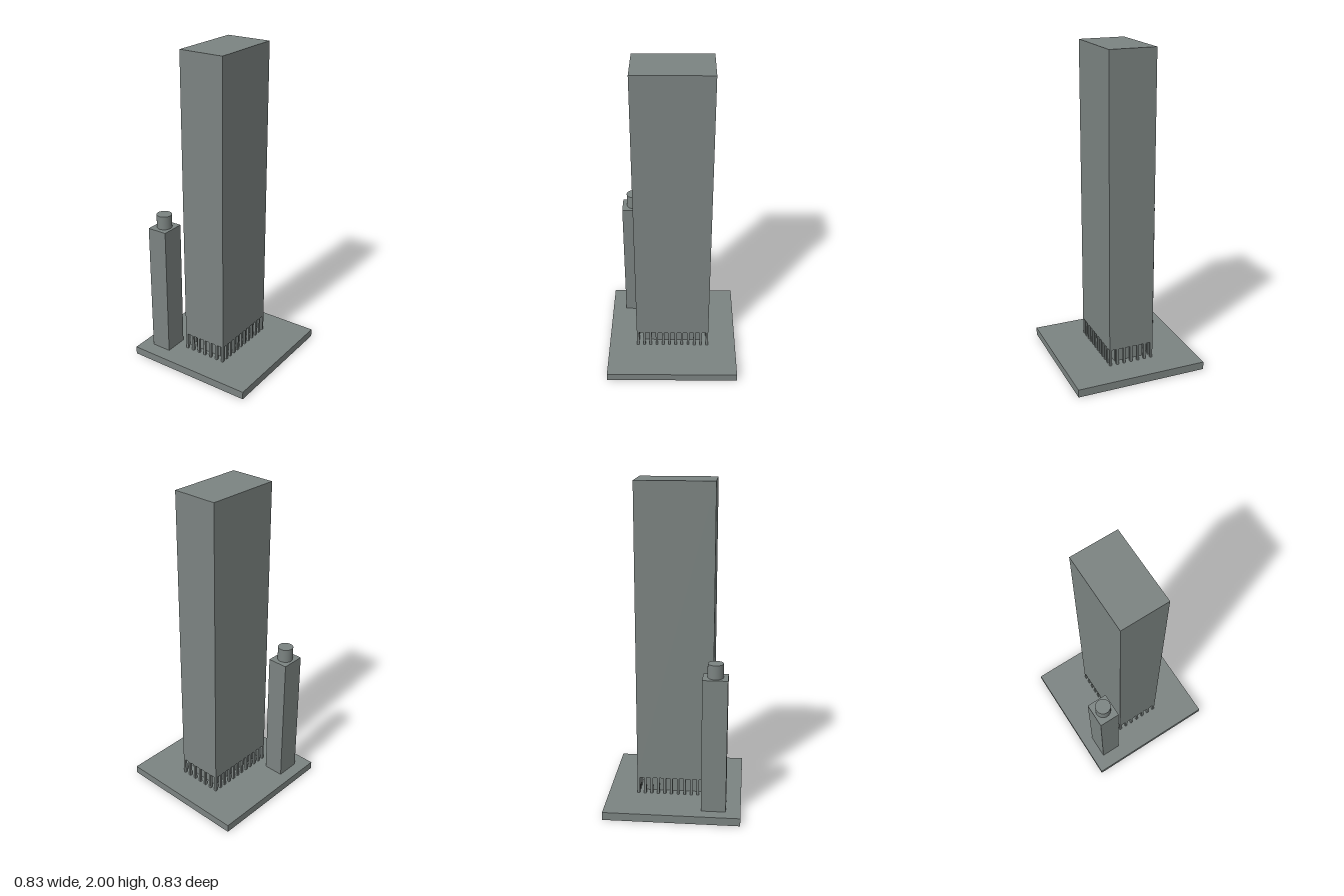
import * as THREE from 'three';

export function createModel() {
  const model = new THREE.Group();
  model.name = 'towerAndAnnex';
  const grey = new THREE.MeshStandardMaterial({ color: 0x7b8381 });
  grey.name = 'concrete grey';

  // Box given by its centre in plan, its size and its lower and upper levels
  function block(name, x, z, width, depth, bottom, top, parent = model) {
    const mesh = new THREE.Mesh(new THREE.BoxGeometry(width, top - bottom, depth), grey);
    mesh.name = name;
    mesh.position.set(x, (bottom + top) / 2, z);
    parent.add(mesh);
  }

  const floor = 0.05, soffit = 0.157;
  const cx = -0.001, cz = -0.001, width = 0.29, depth = 0.472;

  // Plaza slab, tower shaft and recessed lobby core
  block('plazaSlab', 0, 0, 0.834, 0.834, 0, floor);
  block('towerShaft', cx, cz, width, depth, soffit, 2);
  block('lobbyCore', cx, cz, 0.19, 0.38, floor, soffit);

  // Colonnade around the tower's foot
  const colonnade = new THREE.Group();
  colonnade.name = 'colonnade';
  model.add(colonnade);
  const size = 0.015, nx = 7, nz = 12;
  for (let i = 0; i < nx; i++) {
    for (let j = 0; j < nz; j++) {
      if (i > 0 && i < nx - 1 && j > 0 && j < nz - 1) continue;
      const x = cx + (i / (nx - 1) - 0.5) * (width - size);
      const z = cz + (j / (nz - 1) - 0.5) * (depth - size);
      block('column', x, z, size, size, floor, soffit, colonnade);
    }
  }

  // Slender annex with a round rooftop drum
  block('annexTower', -0.281, 0.252, 0.128, 0.15, floor, 0.89);
  const drum = new THREE.Mesh(new THREE.CylinderGeometry(0.047, 0.047, 0.085, 48), grey);
  drum.name = 'rooftopDrum';
  drum.position.set(-0.281, 0.9325, 0.252);
  model.add(drum);

  return model;
}
